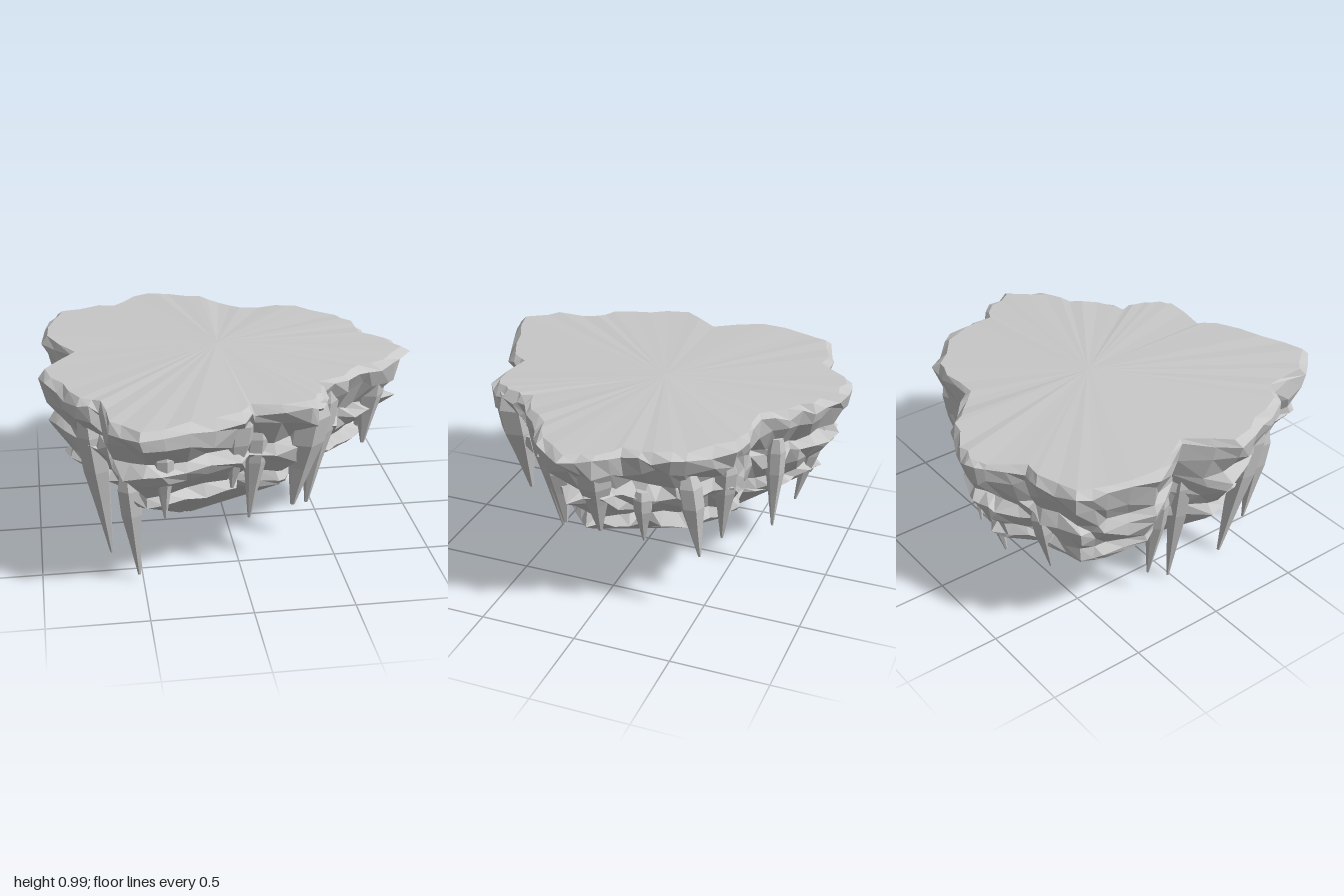
import * as THREE from 'three';

const stone = new THREE.MeshStandardMaterial({ color: 0xc8c8c8 });
stone.name = 'grey stone';
stone.flatShading = true;

// Small seeded noise in -1..1
let seed = 17;
function noise() {
  seed = (seed * 16807) % 2147483647;
  return (seed / 2147483647) * 2 - 1;
}

// Rim outline as x, z pairs, running back, left, front, right
const outline = [
  -0.31, -1.0, -0.19, -0.97, -0.01, -0.89, 0.09, -0.79, 0.2, -0.67, 0.41, -0.68, 0.54, -0.66,
  0.72, -0.47, 0.78, -0.32, 0.79, -0.17, 0.9, -0.07, 0.965, 0.08, 0.84, 0.24, 0.69, 0.32,
  0.56, 0.43, 0.42, 0.5, 0.43, 0.57, 0.38, 0.69, 0.31, 0.75, 0.04, 0.73, -0.02, 0.82,
  -0.29, 0.92, -0.53, 0.99, -0.66, 0.85, -0.69, 0.6, -0.79, 0.55, -0.88, 0.35, -0.965, 0.14,
  -0.79, -0.09, -0.94, -0.34, -0.89, -0.61, -0.84, -0.75, -0.63, -0.82, -0.53, -0.81, -0.4, -0.95,
];

// Outline with a midpoint added on each edge
function rimPoints() {
  const pts = [];
  const n = outline.length / 2;
  for (let i = 0; i < n; i++) {
    const j = (i + 1) % n;
    const x = outline[2 * i], z = outline[2 * i + 1];
    pts.push([x, z]);
    pts.push([(x + outline[2 * j]) / 2 + noise() * 0.015, (z + outline[2 * j + 1]) / 2 + noise() * 0.015]);
  }
  return pts;
}

// Skin a stack of equal rings from top to bottom, with optional end centres
function loft(rings, topCentre, bottomCentre) {
  const out = [];
  const n = rings[0].length;
  const last = rings.length - 1;
  for (let i = 0; i < n; i++) {
    const j = (i + 1) % n;
    if (topCentre) out.push(...topCentre, ...rings[0][j], ...rings[0][i]);
    for (let r = 0; r < last; r++) {
      const a = rings[r][i], b = rings[r][j], c = rings[r + 1][i], d = rings[r + 1][j];
      out.push(...a, ...b, ...c, ...b, ...d, ...c);
    }
    if (bottomCentre) out.push(...bottomCentre, ...rings[last][i], ...rings[last][j]);
  }
  const geo = new THREE.BufferGeometry();
  geo.setAttribute('position', new THREE.Float32BufferAttribute(out, 3));
  geo.computeVertexNormals();
  return geo;
}

function addMesh(parent, name, geo) {
  const mesh = new THREE.Mesh(geo, stone);
  mesh.name = name;
  parent.add(mesh);
}

// Hanging six-sided rock spike between two points
function spike(top, tip, r) {
  const profile = [[0, 0.65], [0.14, 1], [0.38, 0.95], [0.62, 0.6], [1, 0.12]];
  const turn = noise() * 3;
  const rings = profile.map(([t, k]) => Array.from({ length: 6 }, (_, i) => {
    const a = turn + (i / 6) * Math.PI * 2;
    return [
      top[0] + (tip[0] - top[0]) * t + Math.cos(a) * r * k,
      top[1] + (tip[1] - top[1]) * t,
      top[2] + (tip[2] - top[2]) * t + Math.sin(a) * r * k,
    ];
  }));
  return loft(rings, top, tip);
}

export function createModel() {
  const group = new THREE.Group();
  group.name = 'floatingRock';
  const rim = rimPoints();
  // The cliff narrows toward a point near the off-centre tip
  const cx = -0.28, cz = -0.19;

  // Each row: height, scale, side roughness, height roughness
  const rows = [
    [0.966, 0.96, 0.012, 0.004],
    [0.93, 1.0, 0, 0.02],
    [0.85, 0.97, 0.025, 0.03],
    [0.735, 0.885, 0.022, 0.018],
    [0.69, 0.925, 0.022, 0.02],
    [0.63, 0.885, 0.022, 0.025],
    [0.525, 0.785, 0.016, 0.014],
    [0.48, 0.81, 0.016, 0.014],
    [0.455, 0.78, 0.012, 0.012],
  ];
  const rings = rows.map(([y, s, rough, lift]) => rim.map(([x, z]) => {
    const k = s + noise() * rough;
    return [
      cx + (x - cx) * k + noise() * rough * 0.8,
      y + noise() * lift,
      cz + (z - cz) * k + noise() * rough * 0.8,
    ];
  }));

  // Flat ground on top, gently domed
  addMesh(group, 'topGround', loft([rings[0]], [-0.03, 0.985, -0.08], null));

  // Stepped cliff with two ledges
  addMesh(group, 'steppedCliff', loft(rings, null, null));

  // Ribbed cone below, drawn in to an off-centre point
  const tip = [-0.22, 0, -0.12];
  const tipRing = rim.map(([x, z]) => [tip[0] + (x - cx) * 0.06, 0.008 + noise() * 0.007, tip[2] + (z - cz) * 0.06]);
  addMesh(group, 'ribbedUnderside', loft([rings[rings.length - 1], tipRing], null, tip));

  // Hanging spikes: top point, tip point, radius
  const spikes = [
    [[-0.74, 0.85, 0.44], [-0.64, 0.01, 0.33], 0.075],
    [[-0.57, 0.62, 0.66], [-0.52, 0.03, 0.61], 0.06],
    [[-0.74, 0.75, -0.03], [-0.64, 0.01, -0.02], 0.06],
    [[-0.77, 0.7, -0.2], [-0.67, 0.13, -0.18], 0.055],
    [[-0.41, 0.82, 0.83], [-0.4, 0.43, 0.78], 0.05],
    [[-0.02, 0.92, 0.69], [-0.06, 0.51, 0.66], 0.075],
    [[0.07, 0.84, 0.64], [0.04, 0.29, 0.57], 0.06],
    [[0.34, 0.94, 0.62], [0.26, 0.35, 0.57], 0.1],
    [[0.44, 0.94, 0.41], [0.38, 0.23, 0.33], 0.085],
    [[0.73, 0.95, 0.19], [0.71, 0.47, 0.16], 0.085],
    [[0.81, 0.94, -0.03], [0.72, 0.47, -0.03], 0.095],
    [[0.69, 0.72, -0.24], [0.67, 0.43, -0.24], 0.05],
    [[0.62, 0.82, -0.44], [0.59, 0.35, -0.5], 0.065],
    [[0.48, 0.85, -0.59], [0.4, 0.36, -0.55], 0.06],
    [[0.08, 0.8, -0.72], [0.05, 0.27, -0.71], 0.05],
    [[-0.24, 0.75, -0.86], [-0.24, 0.28, -0.75], 0.055],
    [[-0.52, 0.7, -0.74], [-0.5, 0.3, -0.66], 0.05],
  ];
  const spikeGroup = new THREE.Group();
  spikeGroup.name = 'hangingSpikes';
  spikes.forEach(([top, end, r]) => addMesh(spikeGroup, 'hangingSpike', spike(top, end, r)));
  group.add(spikeGroup);
  return group;
}
